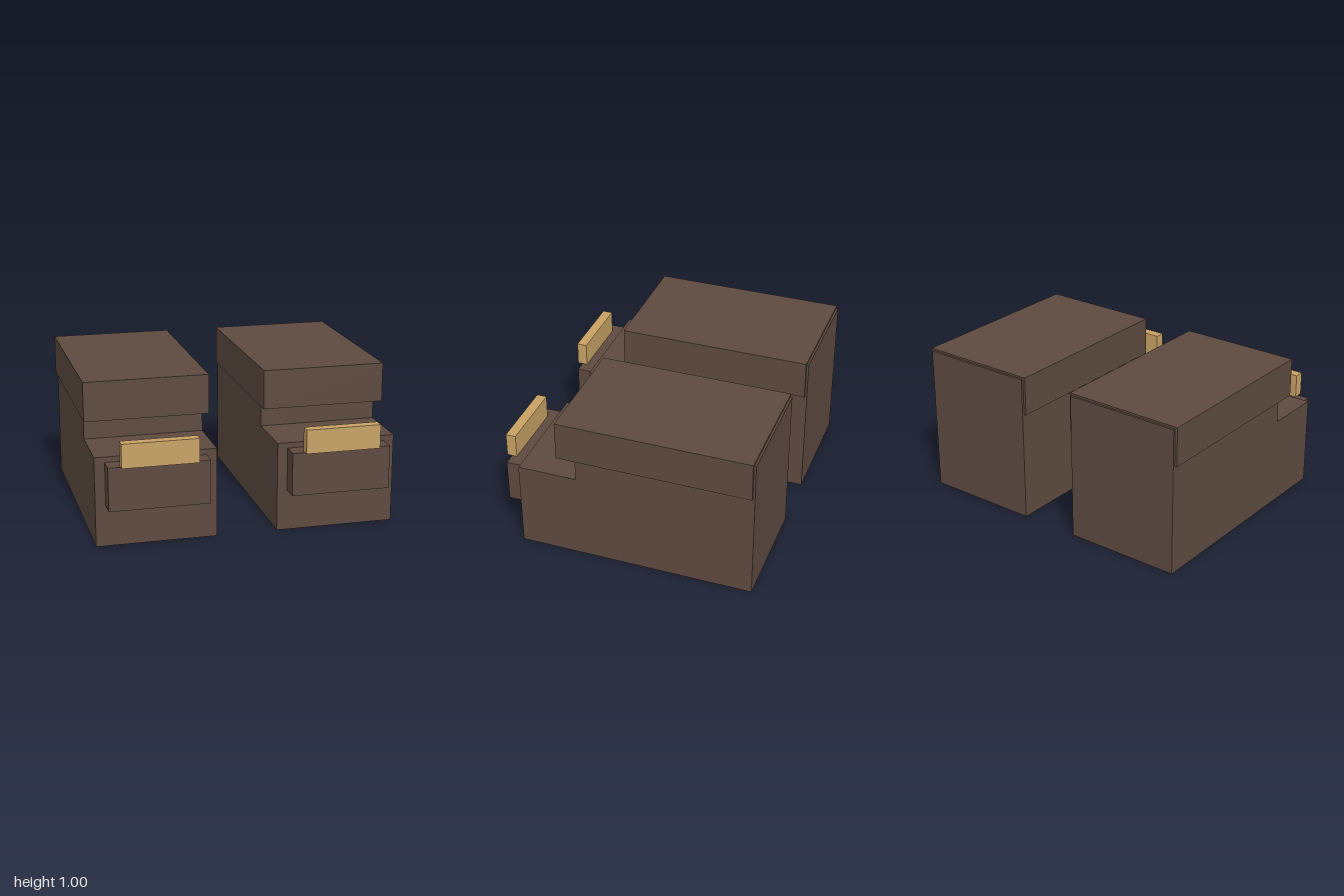
import * as THREE from 'three';

const brown = new THREE.MeshStandardMaterial({ color: 0x5d4a40 });
brown.name = 'darkBrown';
const gold = new THREE.MeshStandardMaterial({ color: 0xc8a265 });
gold.name = 'tan';

// Box given by its width and its y and z ranges
function block(name, width, y0, y1, z0, z1, material) {
  const mesh = new THREE.Mesh(new THREE.BoxGeometry(width, y1 - y0, z1 - z0), material);
  mesh.position.set(0, (y0 + y1) / 2, (z0 + z1) / 2);
  mesh.name = name;
  return mesh;
}

// Stepped body: side profile (z, y) extruded across the width
function steppedBody(width) {
  const profile = [[-0.86, 0], [0.715, 0], [0.715, 0.59], [0.32, 0.59], [0.32, 0.987], [-0.86, 0.987]];
  const shape = new THREE.Shape(profile.map(([z, y]) => new THREE.Vector2(z, y)));
  const geometry = new THREE.ExtrudeGeometry(shape, { depth: width, bevelEnabled: false });
  geometry.translate(0, 0, -width / 2).rotateY(-Math.PI / 2);
  const mesh = new THREE.Mesh(geometry, brown);
  mesh.name = 'bootBody';
  return mesh;
}

function boot(name, x) {
  const group = new THREE.Group();
  group.name = name;
  group.add(
    steppedBody(0.784),
    block('cuff', 0.816, 0.74, 1, -0.846, 0.44, brown),
    block('toeCap', 0.652, 0.268, 0.554, 0.7, 0.83, brown),
    block('toeTrim', 0.492, 0.554, 0.712, 0.796, 0.863, gold)
  );
  group.position.x = x;
  return group;
}

export function createModel() {
  const model = new THREE.Group();
  model.name = 'boots';
  model.add(boot('leftBoot', 0.592), boot('rightBoot', -0.592));
  return model;
}
